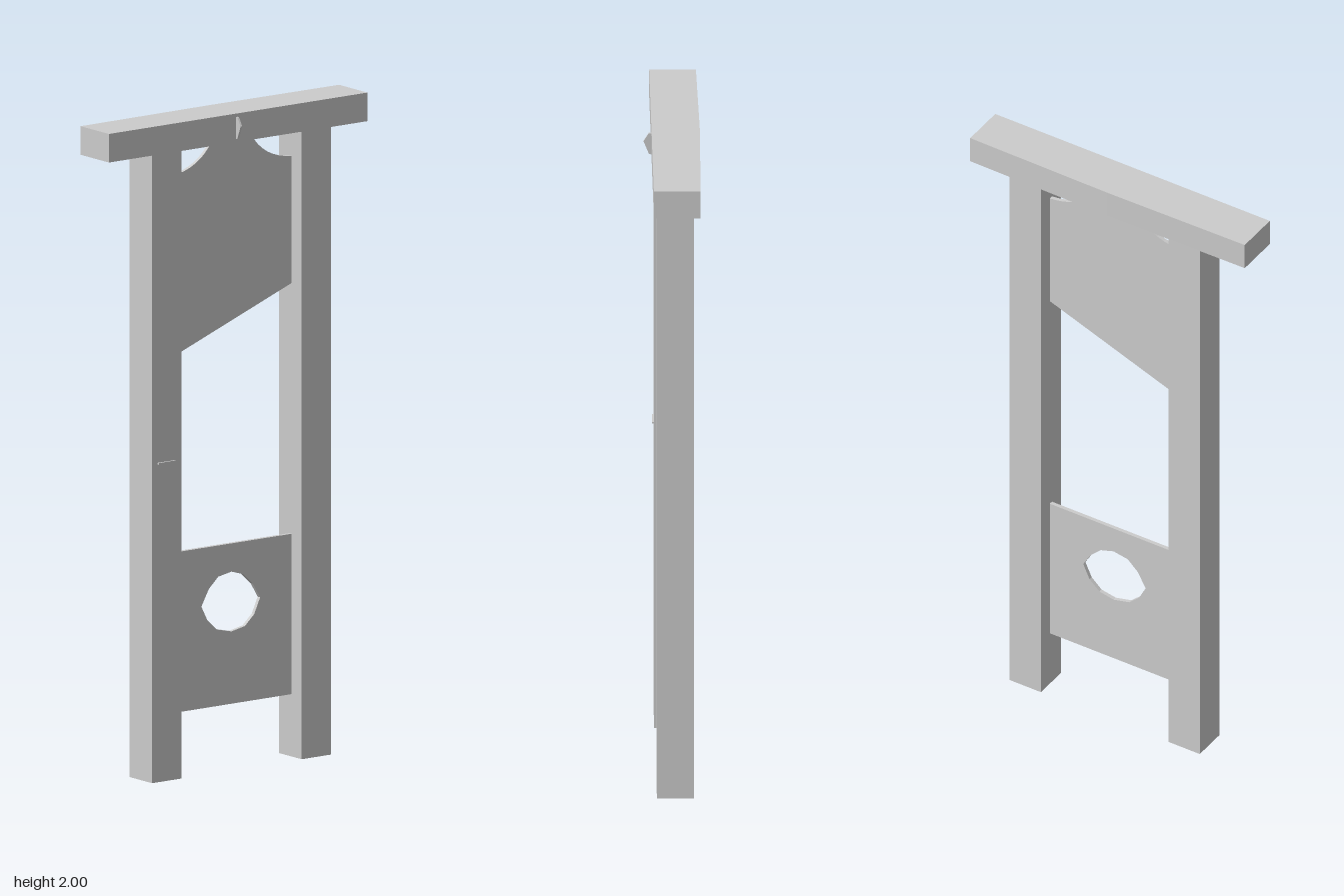
import * as THREE from 'three';

export function createModel() {
  const model = new THREE.Group();
  const material = new THREE.MeshStandardMaterial({ color: 0xcccccc, flatShading: true });

  const add = (name, geometry, x = 0, y = 0, z = 0) => {
    const mesh = new THREE.Mesh(geometry, material);
    mesh.name = name;
    mesh.position.set(x, y, z);
    model.add(mesh);
    return mesh;
  };
  const outline = (points) => points.map(([x, y]) => new THREE.Vector2(x, y));
  const extrude = (shape, depth) =>
    new THREE.ExtrudeGeometry(shape, { depth, bevelEnabled: false, curveSegments: 8 });

  // Square uprights, from the ground to the underside of the beam
  for (const [name, x] of [['rightPost', -0.26], ['leftPost', 0.3]]) {
    add(name, new THREE.BoxGeometry(0.11, 1.915, 0.11), x, 0.9575, -0.006);
  }

  // Shallow raised nick on the face of one upright
  add('postNick', new THREE.BoxGeometry(0.065, 0.005, 0.012), -0.262, 0.97, 0.049);

  // Top beam, drawn in plan, its back swelling slightly at the middle
  const beamPlan = new THREE.Shape(outline([
    [-0.485, -0.06], [0.483, -0.06], [0.483, 0.079], [0, 0.084], [-0.485, 0.079],
  ]));
  const beam = extrude(beamPlan, 0.087);
  beam.rotateX(-Math.PI / 2);
  add('topBeam', beam, 0, 1.913, 0);

  // Small pointed fin on the front of the beam
  const finProfile = new THREE.Shape(outline([
    [0.055, 1.92], [0.068, 1.925], [0.084, 1.965], [0.068, 1.99], [0.055, 1.99],
  ]));
  const fin = extrude(finProfile, 0.006);
  fin.rotateY(-Math.PI / 2);
  add('beamFin', fin, -0.004, 0, 0);

  // Slanted blade with scooped shoulders rising to a neck under the beam
  const blade = new THREE.Shape();
  blade.moveTo(-0.205, 1.272);
  blade.lineTo(0.247, 1.442);
  blade.lineTo(0.247, 1.828);
  blade.quadraticCurveTo(0.14, 1.835, 0.092, 1.915);
  blade.lineTo(-0.052, 1.915);
  blade.quadraticCurveTo(-0.1, 1.835, -0.205, 1.825);
  blade.closePath();
  add('blade', extrude(blade, 0.012), 0, 0, -0.012);

  // Lower board with a faceted neck opening
  const board = new THREE.Shape(outline([
    [-0.205, 0.19], [0.247, 0.19], [0.247, 0.678], [-0.205, 0.678],
  ]));
  board.holes.push(new THREE.Path(outline([
    [-0.093, 0.5], [-0.065, 0.55], [-0.03, 0.583], [0.02, 0.592], [0.065, 0.578], [0.1, 0.545],
    [0.127, 0.5], [0.105, 0.452], [0.07, 0.42], [0.02, 0.41], [-0.035, 0.423], [-0.07, 0.455],
  ])));
  add('neckBoard', extrude(board, 0.012), 0, 0, -0.012);

  return model;
}
